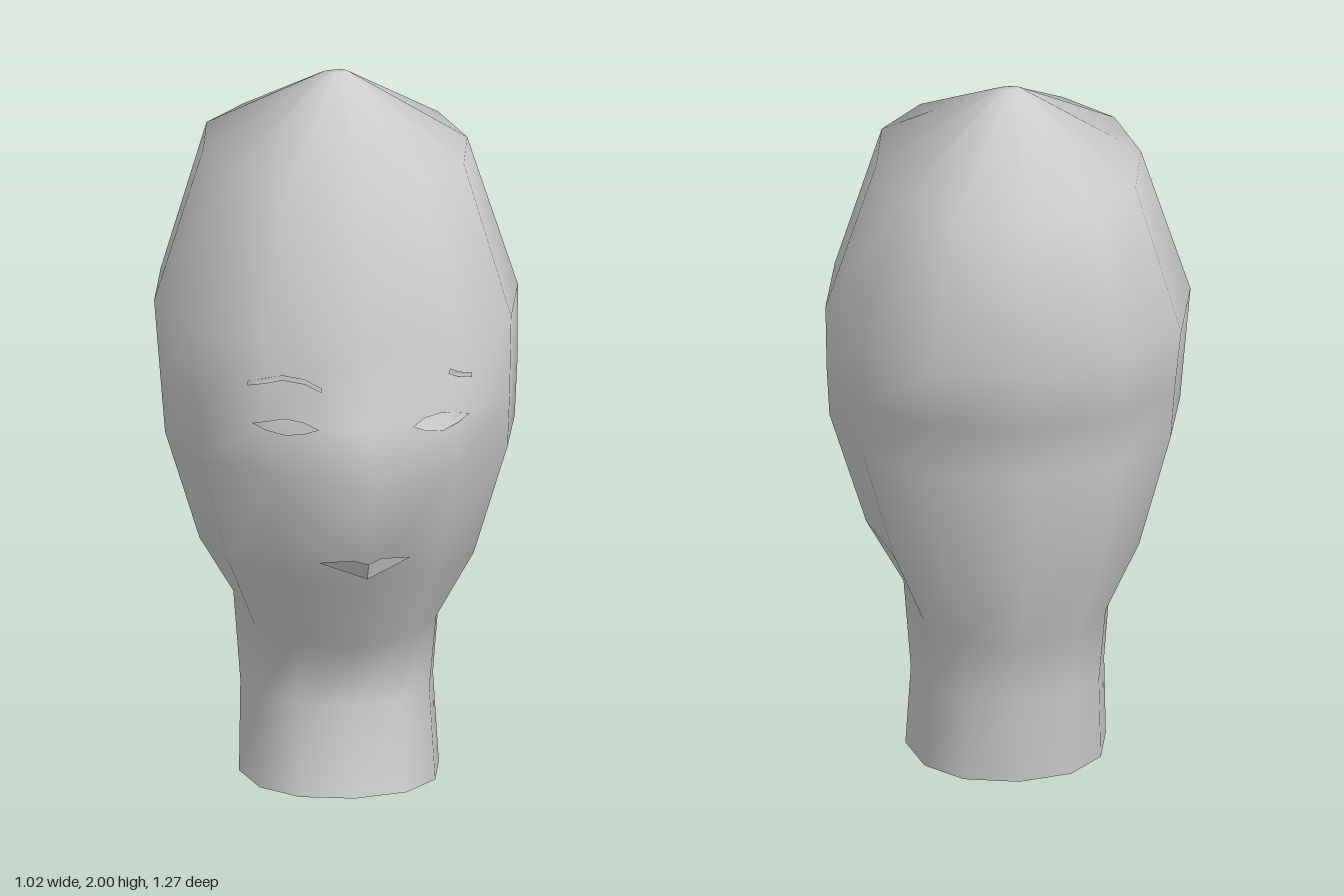
import * as THREE from 'three';

const SIDES = 12;

// Cross-sections from crown to neck: y, half width, front z, back z,
// extra z of the middle front point, drop of the front and back
const RINGS = [
  [2.0, 0.035, -0.08, -0.11, 0, 0],
  [1.79, 0.37, 0.35, -0.55, 0, 0],
  [1.36, 0.51, 0.46, -0.63, 0, 0],
  [1.15, 0.5, 0.47, -0.53, 0.05, 0],
  [1.0, 0.49, 0.49, -0.515, 0.15, 0],
  [0.68, 0.39, 0.42, -0.49, 0.05, 0],
  [0.51, 0.29, 0.23, -0.37, 0.01, 0.09],
  [0.25, 0.27, 0.21, -0.355, 0, 0],
  [0.0, 0.28, 0.275, -0.335, 0, 0],
];

const soften = (v) => Math.sign(v) * Math.abs(v) ** 0.9;

function headGeometry() {
  const pos = [], index = [];
  for (const [y, w, front, back, bump, drop] of RINGS) {
    for (let i = 0; i < SIDES; i++) {
      const a = (i / SIDES) * Math.PI * 2;
      const s = soften(Math.sin(a)), c = soften(Math.cos(a));
      const z = (front + back) / 2 + ((front - back) / 2) * c + (i === 0 ? bump : 0);
      pos.push(w * s, y - drop * Math.abs(c), z);
    }
  }
  for (let r = 0; r < RINGS.length - 1; r++) {
    for (let i = 0; i < SIDES; i++) {
      const j = (i + 1) % SIDES;
      const a = r * SIDES + i, b = r * SIDES + j;
      index.push(a, a + SIDES, b, b, a + SIDES, b + SIDES);
    }
  }
  // Crown cap; the neck stays open
  for (let i = 1; i < SIDES - 1; i++) index.push(0, i, i + 1);
  const g = new THREE.BufferGeometry();
  g.setAttribute('position', new THREE.Float32BufferAttribute(pos, 3));
  g.setIndex(index);
  g.computeVertexNormals();
  return g;
}

export function createModel() {
  const group = new THREE.Group();
  const skin = new THREE.MeshStandardMaterial({ color: 0xcccccc, side: THREE.DoubleSide });
  skin.name = 'pale grey';

  const head = new THREE.Mesh(headGeometry(), skin);
  head.name = 'headAndNeck';
  head.updateMatrixWorld();
  group.add(head);

  // Thin patch whose outline is laid on the face, lifted slightly
  const ray = new THREE.Raycaster();
  const towardBack = new THREE.Vector3(0, 0, -1);
  function addPatch(name, outline, side, lift) {
    const shape = new THREE.Shape(outline.map(([x, y]) => new THREE.Vector2(x * side, y)));
    const g = new THREE.ShapeGeometry(shape);
    const p = g.attributes.position;
    for (let i = 0; i < p.count; i++) {
      ray.set(new THREE.Vector3(p.getX(i), p.getY(i), 3), towardBack);
      const hit = ray.intersectObject(head)[0];
      p.setZ(i, (hit ? hit.point.z : 0.4) + lift);
    }
    g.computeVertexNormals();
    const mesh = new THREE.Mesh(g, skin);
    mesh.name = name;
    group.add(mesh);
  }

  const eye = [[0.13, 1.14], [0.17, 1.125], [0.22, 1.118], [0.268, 1.128],
    [0.305, 1.14], [0.268, 1.155], [0.22, 1.165], [0.17, 1.158]];
  const lips = [[0, 0.71], [0.13, 0.75], [0.04, 0.77], [0, 0.762]];
  for (const side of [1, -1]) {
    const label = side > 0 ? 'left' : 'right';
    addPatch(label + 'Eye', eye, side, 0.008);
    addPatch(label + 'Lips', lips, side, 0.02);
  }

  // Eyebrows; the left one shows only its outer end
  addPatch('leftEyebrow', [[0.24, 1.27], [0.27, 1.257], [0.315, 1.24],
    [0.315, 1.252], [0.27, 1.272], [0.245, 1.285]], 1, 0.008);
  addPatch('rightEyebrow', [[0.12, 1.24], [0.165, 1.262], [0.225, 1.272], [0.27, 1.262],
    [0.315, 1.245], [0.315, 1.258], [0.27, 1.277], [0.225, 1.287], [0.165, 1.277],
    [0.12, 1.253]], -1, 0.008);

  return group;
}
